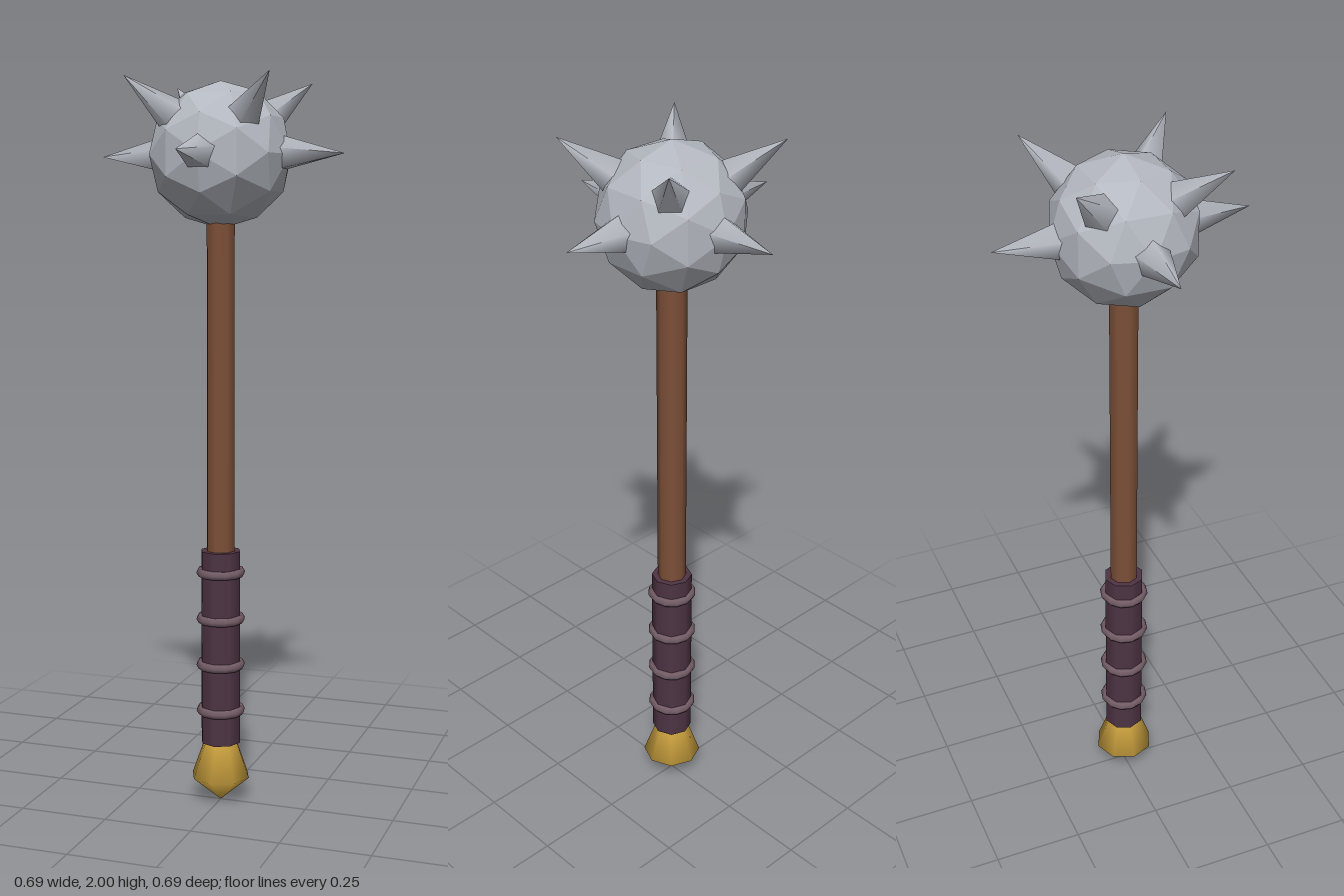
import * as THREE from 'three';

const makeMaterial = (name, color, flatShading = false) => {
  const m = new THREE.MeshStandardMaterial({ color, flatShading });
  m.name = name;
  return m;
};

export function createModel() {
  const model = new THREE.Group();
  model.name = 'spikedMace';

  const steel = makeMaterial('steel', 0xb4b8c0);
  const wood = makeMaterial('wood', 0x7d5038);
  const leather = makeMaterial('leather', 0x4e3444);
  const binding = makeMaterial('binding', 0x735c66);
  const brass = makeMaterial('brass', 0xd0a540);

  const add = (name, geometry, material, y = 0, parent = model) => {
    const mesh = new THREE.Mesh(geometry, material);
    mesh.name = name;
    mesh.position.y = y;
    parent.add(mesh);
    return mesh;
  };

  // Pommel: a faceted teardrop pointing down
  const profile = [[0, 0], [0.084, 0.072], [0.045, 0.18]].map(([r, y]) => new THREE.Vector2(r, y));
  add('pommel', new THREE.LatheGeometry(profile, 8), brass);

  // Handle: wooden shaft with a leather grip
  add('shaft', new THREE.CylinderGeometry(0.04, 0.04, 1.5, 8), wood, 0.92);
  add('grip', new THREE.CylinderGeometry(0.057, 0.057, 0.55, 8), leather, 0.447);

  // Binding rings around the grip
  for (let i = 0; i < 4; i++) {
    const ring = new THREE.TorusGeometry(0.056, 0.013, 6, 12).rotateX(Math.PI / 2);
    add('gripRing', ring, binding, 0.265 + i * 0.132);
  }

  // Head: faceted ball; non-indexed icosahedron faces get flat normals
  const head = new THREE.Group();
  head.name = 'head';
  head.position.y = 1.802;
  model.add(head);
  const ball = new THREE.IcosahedronGeometry(0.195, 1);
  ball.computeVertexNormals();
  add('ball', ball, steel, 0, head);

  // Spikes: five-sided cones lying along +z, one edge facing up
  const spike = new THREE.ConeGeometry(0.051, 0.178, 5, 1)
    .rotateY(Math.PI)
    .rotateX(Math.PI / 2)
    .translate(0, 0, 0.254);
  for (let i = 0; i < 8; i++) {
    const angle = (i * Math.PI) / 4;
    const rise = i % 2 ? Math.SQRT1_2 : 0;
    const mesh = add('spike', spike, steel, 0, head);
    mesh.lookAt(Math.sin(angle), 1.802 + rise, Math.cos(angle));
    // Aim from the head centre, independent of parent transforms
    mesh.rotation.set(-Math.atan(rise), angle, 0, 'YXZ');
  }

  return model;
}
